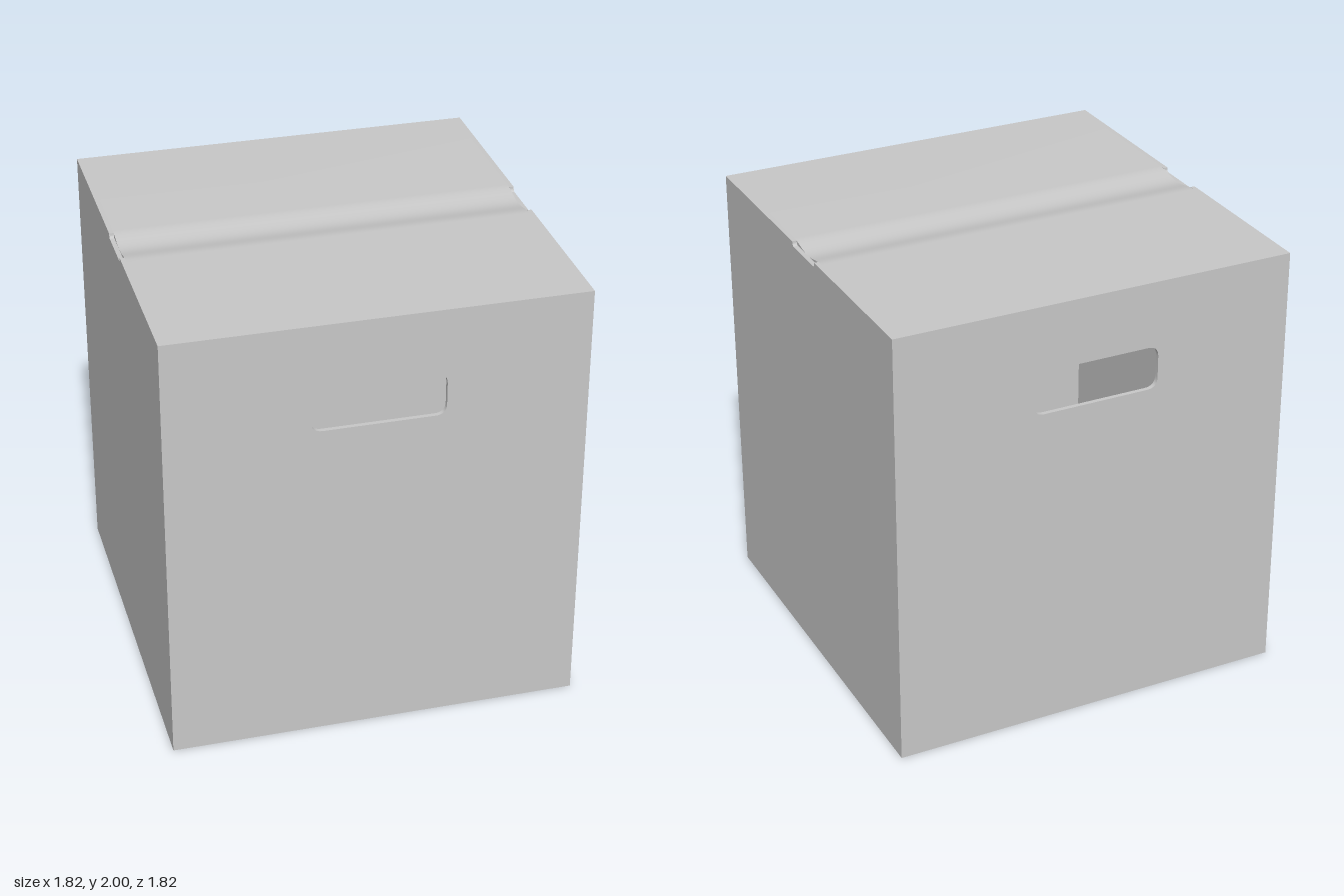
import * as THREE from 'three';
import { toCreasedNormals } from 'three/addons/utils/BufferGeometryUtils.js';

const HALF = 0.91;   // half the box width and depth
const TOP = 2;
const T = 0.02;      // panel thickness
const INNER = HALF - T;

// Rounded rectangle path, used for the hand holes
function roundedRect(path, x0, y0, x1, y1, r) {
  path.moveTo(x0 + r, y0);
  path.lineTo(x1 - r, y0);
  path.quadraticCurveTo(x1, y0, x1, y0 + r);
  path.lineTo(x1, y1 - r);
  path.quadraticCurveTo(x1, y1, x1 - r, y1);
  path.lineTo(x0 + r, y1);
  path.quadraticCurveTo(x0, y1, x0, y1 - r);
  path.lineTo(x0, y0 + r);
  path.quadraticCurveTo(x0, y0, x0 + r, y0);
  return path;
}

// Extrudes a shape, centred on its own thickness
function panel(shape, depth) {
  const g = new THREE.ExtrudeGeometry(shape, { depth, bevelEnabled: false, curveSegments: 8 });
  g.translate(0, 0, -depth / 2);
  return toCreasedNormals(g, 0.6);
}

export function createModel() {
  const model = new THREE.Group();
  model.name = 'storageBox';
  const grey = new THREE.MeshStandardMaterial({ color: 0xc8c8c8 });
  grey.name = 'light grey';

  const add = (geometry, name) => {
    const mesh = new THREE.Mesh(geometry, grey);
    mesh.name = name;
    model.add(mesh);
    return mesh;
  };

  // Front and back walls with a rounded hand hole
  const wall = new THREE.Shape();
  wall.moveTo(-HALF, 0);
  wall.lineTo(HALF, 0);
  wall.lineTo(HALF, TOP);
  wall.lineTo(-HALF, TOP);
  wall.closePath();
  wall.holes.push(roundedRect(new THREE.Path(), -0.29, 1.51, 0.29, 1.705, 0.05));
  const wallGeometry = panel(wall, T);
  add(wallGeometry, 'frontWall').position.z = HALF - T / 2;
  add(wallGeometry, 'backWall').position.z = -HALF + T / 2;

  // Side walls with a shallow notch in the top edge
  const n = 0.12, r = 0.012, low = TOP - T;
  const side = new THREE.Shape();
  side.moveTo(-INNER, 0);
  side.lineTo(INNER, 0);
  side.lineTo(INNER, TOP);
  side.lineTo(n, TOP);
  side.quadraticCurveTo(n, low, n - r, low);
  side.lineTo(-n + r, low);
  side.quadraticCurveTo(-n, low, -n, TOP);
  side.lineTo(-INNER, TOP);
  side.closePath();
  const sideGeometry = panel(side, T).rotateY(Math.PI / 2);
  add(sideGeometry, 'leftWall').position.x = HALF - T / 2;
  add(sideGeometry, 'rightWall').position.x = -HALF + T / 2;

  // Top panel with a soft groove running from side to side
  const grooveHalf = 0.15, steps = 24;
  const groove = [];
  for (let i = 0; i <= steps; i++) {
    const z = -grooveHalf + (2 * grooveHalf * i) / steps;
    groove.push([z, -0.5 * T * (1 + Math.cos((Math.PI * z) / grooveHalf))]);
  }
  const lid = new THREE.Shape();
  lid.moveTo(-INNER, TOP - T);
  groove.forEach(([z, dip]) => lid.lineTo(z, TOP - T + dip));
  lid.lineTo(INNER, TOP - T);
  lid.lineTo(INNER, TOP);
  [...groove].reverse().forEach(([z, dip]) => lid.lineTo(z, TOP + dip));
  lid.lineTo(-INNER, TOP);
  lid.closePath();
  add(panel(lid, 2 * INNER).rotateY(Math.PI / 2), 'topPanel');

  return model;
}
